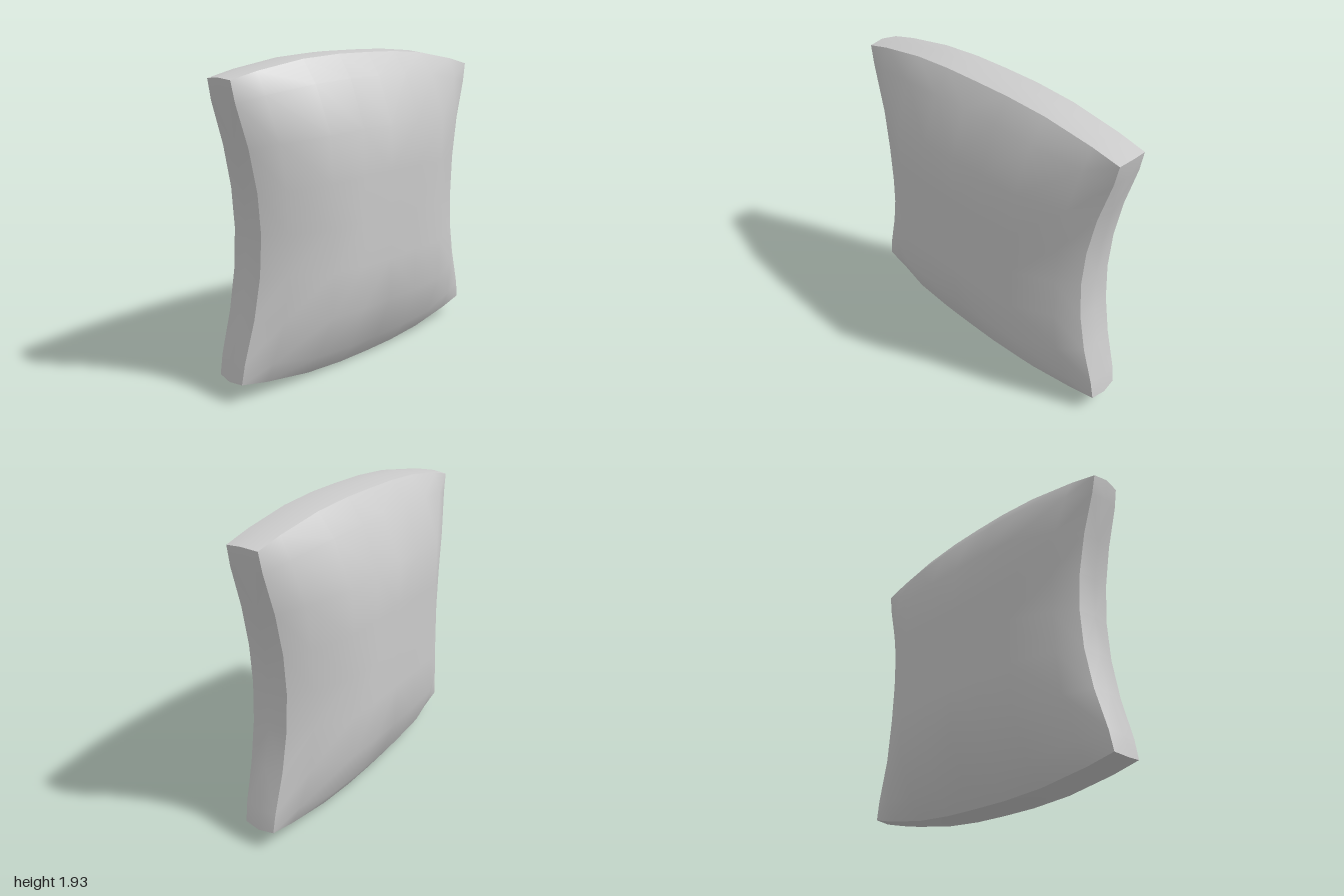
import * as THREE from 'three';

// Half-profiles sampled from the middle of the cushion to its edge
const T = [0, 0.28, 0.57, 0.86, 1];         // grid lines
const BOW = [0, 0.1, 0.4, 0.86, 1];         // inward curve of the sides
const PUFF = [1, 1, 0.97, 0.46, 0];         // stuffing thickness
const N = 8, MID = 0.965;

// Point of the cushion for signed grid steps a, b (-4..4): outline and thickness
function cushion(a, b) {
  const i = Math.abs(a), j = Math.abs(b);
  const u = T[i], v = T[j];
  const x = Math.sign(a) * u * (0.845 + 0.155 * BOW[j] * u * u);
  const y = Math.sign(b) * v * (MID - 0.11 * u ** 3);
  const rim = 0.1 + 0.018 * (1 - (u * v) ** 2);
  return { x, y, z: rim + (0.325 - rim) * PUFF[i] * PUFF[j] };
}

// Smooth sheet of nu x nv cells; diagonals mirrored so they run from centre to corners
function sheet(nu, nv, point) {
  const pos = [], index = [];
  for (let j = 0; j <= nv; j++)
    for (let i = 0; i <= nu; i++) pos.push(...point(i, j));
  for (let j = 0; j < nv; j++)
    for (let i = 0; i < nu; i++) {
      const a = j * (nu + 1) + i, b = a + 1, c = a + nu + 1, d = c + 1;
      if ((i < nu / 2) === (j < nv / 2)) index.push(a, b, d, a, d, c);
      else index.push(a, b, c, b, d, c);
    }
  const g = new THREE.BufferGeometry();
  g.setAttribute('position', new THREE.Float32BufferAttribute(pos, 3));
  g.setIndex(index);
  g.computeVertexNormals();
  return g;
}

const INSET = 0.988;  // seam lies slightly inside the rounded edge band

export function createModel() {
  const group = new THREE.Group();
  group.name = 'cushion';
  const material = new THREE.MeshStandardMaterial({ color: 0xcccccc });
  const add = (name, geometry, ry = 0, rz = 0) => {
    const mesh = new THREE.Mesh(geometry, material);
    mesh.name = name;
    mesh.rotation.set(0, ry, rz);
    mesh.position.y = MID;
    group.add(mesh);
  };

  // Puffed front and back panels
  const panel = sheet(N, N, (i, j) => {
    const p = cushion(i - 4, j - 4);
    return [p.x * INSET, p.y * INSET, p.z];
  });
  add('frontPanel', panel);
  add('backPanel', panel, Math.PI);

  // Edge bands, three points across with a slight bulge
  const across = (p, k) => {
    const s = k === 1 ? 1 : INSET;
    return [p.x * s, p.y * s, p.z * (1 - k)];
  };
  const side = sheet(2, N, (i, j) => across(cushion(4, j - 4), i));
  add('leftEdge', side);
  add('rightEdge', side, Math.PI);
  const top = sheet(N, 2, (i, j) => across(cushion(i - 4, 4), j));
  add('topEdge', top);
  add('bottomEdge', top, 0, Math.PI);

  return group;
}
